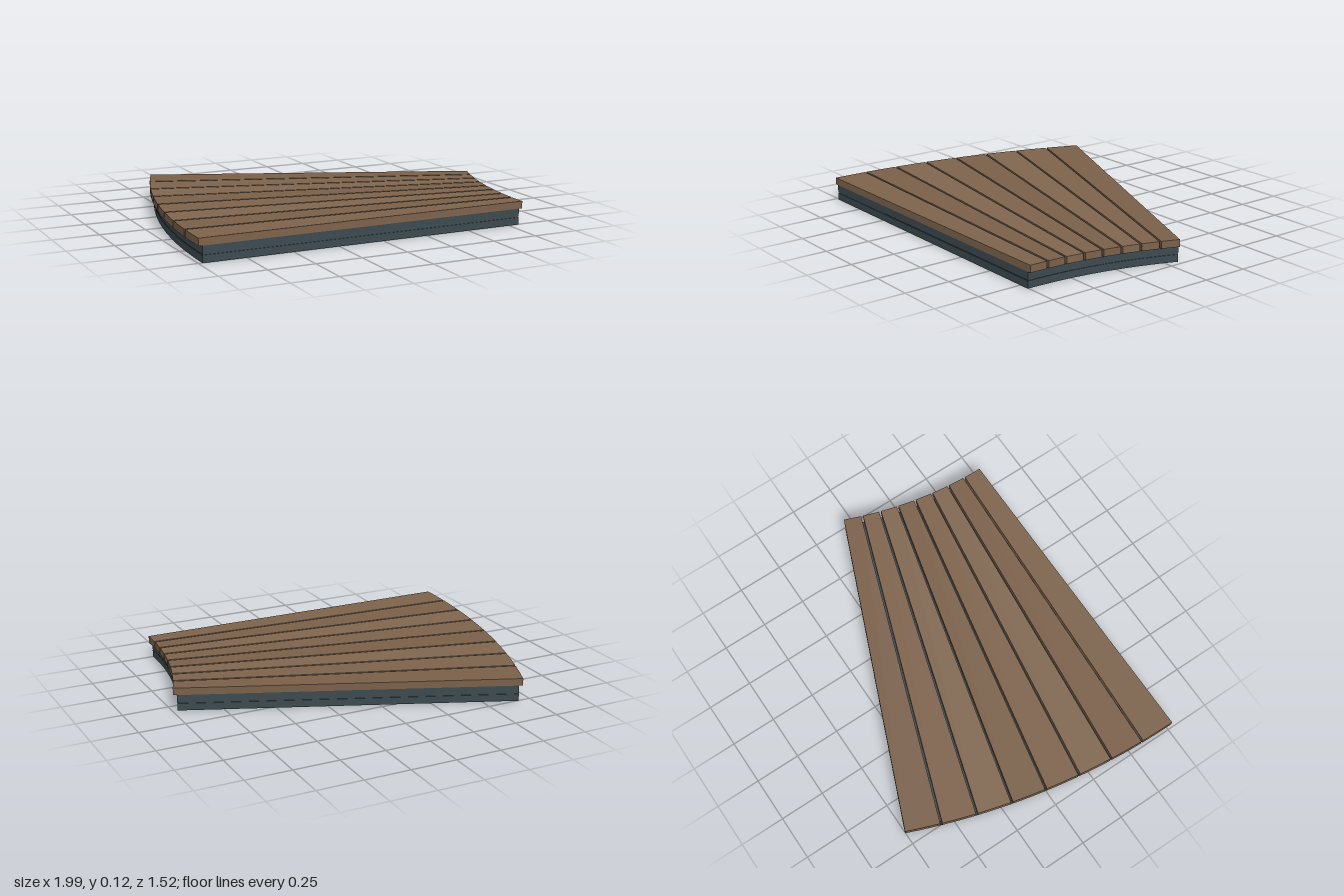
import * as THREE from 'three';

// Curved decking section: a ring sector whose centre lies to the +x side
const CX = 2.96, CZ = 0.755;
const SWEEP = Math.PI / 8;
const R_IN = 2.13, R_OUT = 3.96;
const PLANKS = 8, GAP = 0.011;

// Point on the plan (shape y is -z), shifted sideways along the arc
function planPoint(r, a, shift = 0) {
  return new THREE.Vector2(
    CX - r * Math.cos(a) + shift * Math.sin(a),
    -CZ + r * Math.sin(a) + shift * Math.cos(a)
  );
}

// Ring sector slab standing between two heights
function slab(rIn, rOut, a0, a1, s0, s1, y0, y1, segments) {
  const outer = [], inner = [];
  for (let i = 0; i <= segments; i++) {
    const t = i / segments;
    const a = a0 + (a1 - a0) * t;
    const s = s0 + (s1 - s0) * t;
    outer.push(planPoint(rOut, a, s));
    inner.unshift(planPoint(rIn, a, s));
  }
  const geo = new THREE.ExtrudeGeometry(new THREE.Shape([...outer, ...inner]), {
    depth: y1 - y0, bevelEnabled: false,
  });
  geo.rotateX(-Math.PI / 2);
  geo.translate(0, y0, 0);
  return geo;
}

export function createModel() {
  const group = new THREE.Group();
  const add = (name, geo, mat) => {
    const mesh = new THREE.Mesh(geo, mat);
    mesh.name = name;
    group.add(mesh);
  };

  // Frame: two stacked rails with a fine shadow groove between them
  const frameMat = new THREE.MeshStandardMaterial({ color: 0x3c4a50 });
  const inset = 0.02, groove = 0.004;
  const frame = (name, extra, side, y0, y1) => add(name,
    slab(R_IN + inset + extra, R_OUT - inset - extra, 0, SWEEP, side, -side, y0, y1, 12), frameMat);
  frame('lowerFrame', 0, 0, 0, 0.039);
  frame('frameGroove', groove, groove, 0.039, 0.043);
  frame('upperFrame', 0, 0, 0.043, 0.086);

  // Tapered planks with parallel gaps
  const plankMats = [0x7d634c, 0x806750, 0x7a604a].map(
    (color) => new THREE.MeshStandardMaterial({ color }));
  const step = SWEEP / PLANKS;
  for (let i = 0; i < PLANKS; i++) {
    const s0 = i === 0 ? 0 : GAP / 2;
    const s1 = i === PLANKS - 1 ? 0 : -GAP / 2;
    add(`plank${i + 1}`,
      slab(R_IN, R_OUT, i * step, (i + 1) * step, s0, s1, 0.086, 0.125, 2),
      plankMats[(i * 2) % 3]);
  }
  return group;
}
